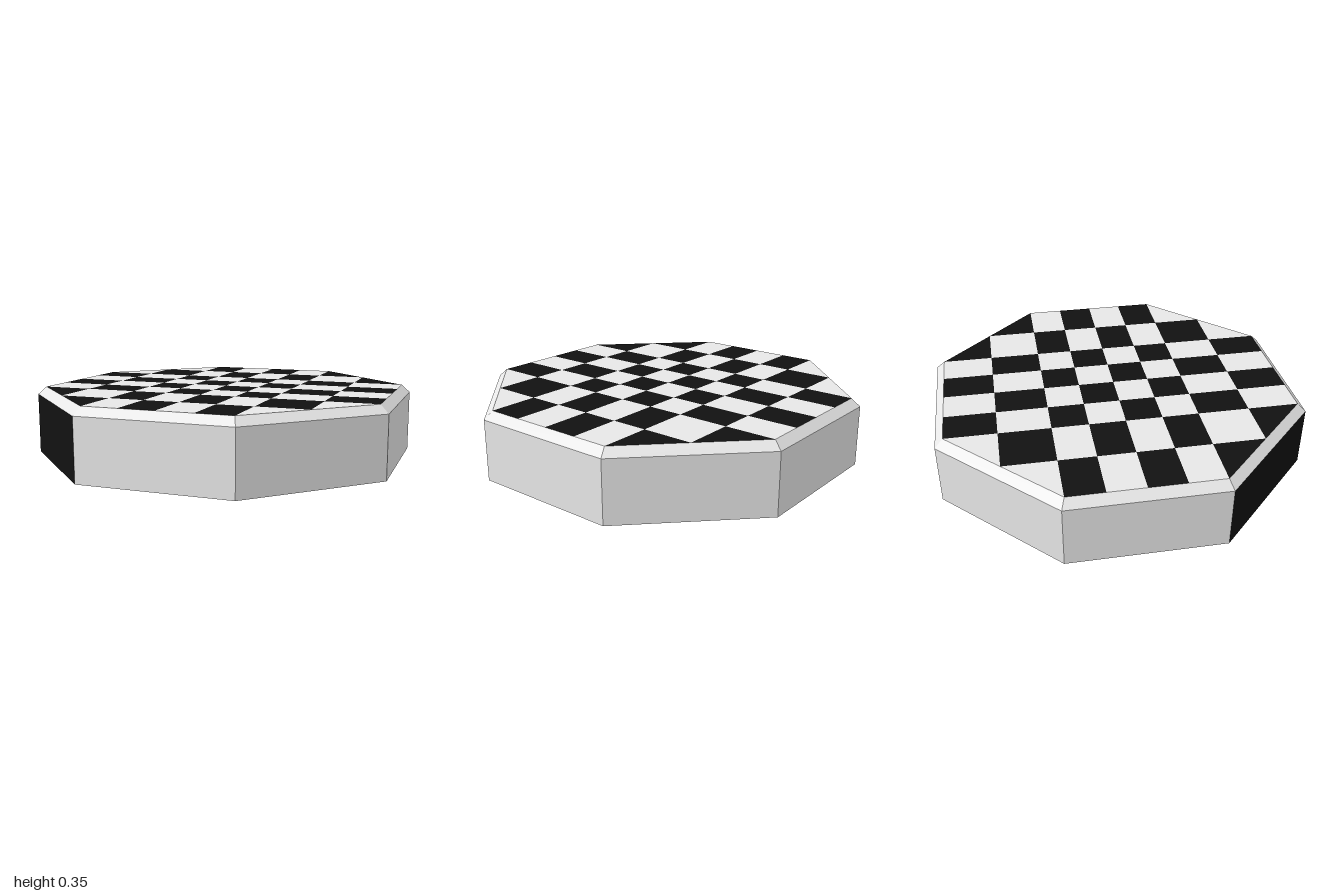
import * as THREE from 'three';

const WALL = 0.312, TOP = 0.352, INNER = 0.955;

export function createModel() {
  const light = new THREE.MeshStandardMaterial({ color: 0xe7e7e7, flatShading: true });
  light.name = 'lightGrey';
  const dark = new THREE.MeshStandardMaterial({ color: 0x111111, flatShading: true });
  dark.name = 'black';

  const group = new THREE.Group();
  group.name = 'octagonalBoard';
  const add = (name, geometry, material, y = 0) => {
    const mesh = new THREE.Mesh(geometry, material);
    mesh.name = name;
    mesh.position.y = y;
    group.add(mesh);
  };

  // Octagonal wall: seven light sides and one black side at the front
  const step = Math.PI / 4;
  add('lightSides', new THREE.CylinderGeometry(1, 1, WALL, 7, 1, true, 0, 7 * step), light, WALL / 2);
  add('blackSide', new THREE.CylinderGeometry(1, 1, WALL, 1, 1, true, -step, step), dark, WALL / 2);

  // Bevelled rim and underside
  add('bevelledRim', new THREE.CylinderGeometry(INNER, 1, TOP - WALL, 8, 1, true), light, (TOP + WALL) / 2);
  add('underside', new THREE.CircleGeometry(1, 8).rotateX(Math.PI / 2), light);

  // Checkered top: narrow middle cells, wider outer cells, corners cut to the octagon
  const flat = INNER * Math.cos(step / 2), half = INNER * Math.sin(step / 2);
  const mid = (flat + half) / 2;
  const lines = [-flat, -mid, -half, -half / 2, 0, half / 2, half, mid, flat];
  const inside = ([u, v]) => Math.abs(u) + Math.abs(v) < flat + half + 0.001;
  const cells = [[], []];
  for (let j = 0; j < 8; j++) {
    for (let i = 0; i < 8; i++) {
      const corners = [[i, j], [i, j + 1], [i + 1, j + 1], [i + 1, j]]
        .map(([a, b]) => [lines[a], lines[b]])
        .filter(inside);
      if (corners.length < 3) continue;
      cells[(i + j) % 2].push(new THREE.Shape(corners.map(([u, v]) => new THREE.Vector2(u, -v))));
    }
  }
  const lay = (shapes) => new THREE.ShapeGeometry(shapes).rotateX(-Math.PI / 2).rotateY(step / 2);
  add('blackSquares', lay(cells[0]), dark, TOP);
  add('lightSquares', lay(cells[1]), light, TOP);

  return group;
}
